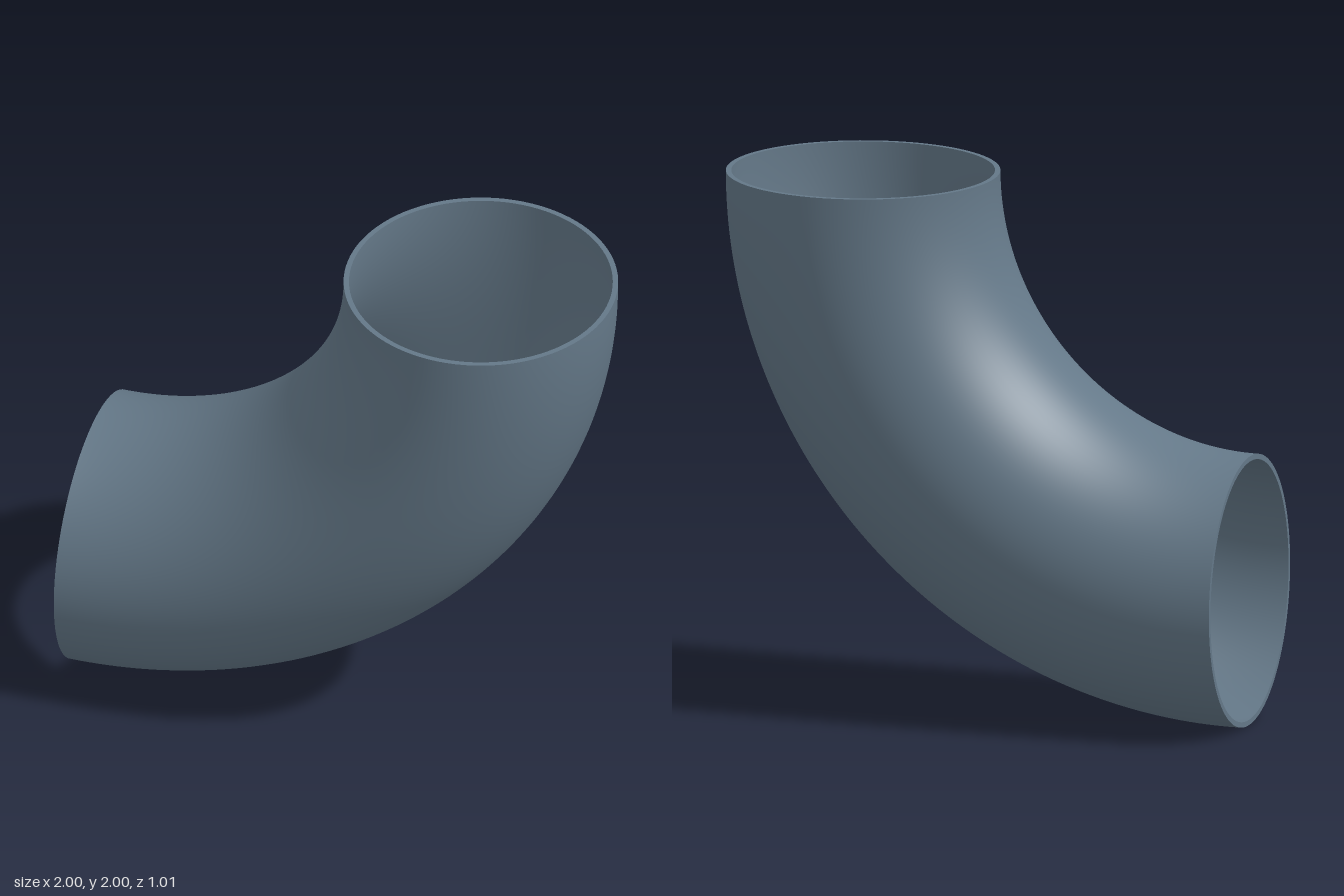
import * as THREE from 'three';

const BEND = 1.493;   // bend radius of the centre line
const OUTER = 0.507;  // outside radius of the pipe
const INNER = 0.487;  // bore radius
const SIDES = 96;
const STEPS = 80;

// Quarter bend about (-1, 2), from the left mouth up to the top mouth
function bend(radius) {
  return new THREE.TorusGeometry(BEND, radius, SIDES, STEPS, Math.PI / 2)
    .rotateZ(-Math.PI / 2)
    .translate(-1, 2, 0);
}

// Turn a surface inside out so it shows from within
function invert(geometry) {
  geometry.index.array.reverse();
  const normals = geometry.attributes.normal.array;
  for (let i = 0; i < normals.length; i++) normals[i] *= -1;
  return geometry;
}

export function createModel() {
  const group = new THREE.Group();
  group.name = 'pipeElbow';
  const material = new THREE.MeshStandardMaterial({ color: 0x647888 });

  const add = (name, geometry) => {
    const mesh = new THREE.Mesh(geometry, material);
    mesh.name = name;
    group.add(mesh);
  };

  // Pipe wall
  add('outerWall', bend(OUTER));
  add('innerWall', invert(bend(INNER)));

  // Flat annular rims closing the wall at each mouth
  const rim = () => new THREE.RingGeometry(INNER, OUTER, SIDES);
  add('topRim', rim().rotateX(-Math.PI / 2).translate(BEND - 1, 2, 0));
  add('sideRim', rim().rotateY(-Math.PI / 2).translate(-1, 2 - BEND, 0));

  return group;
}
